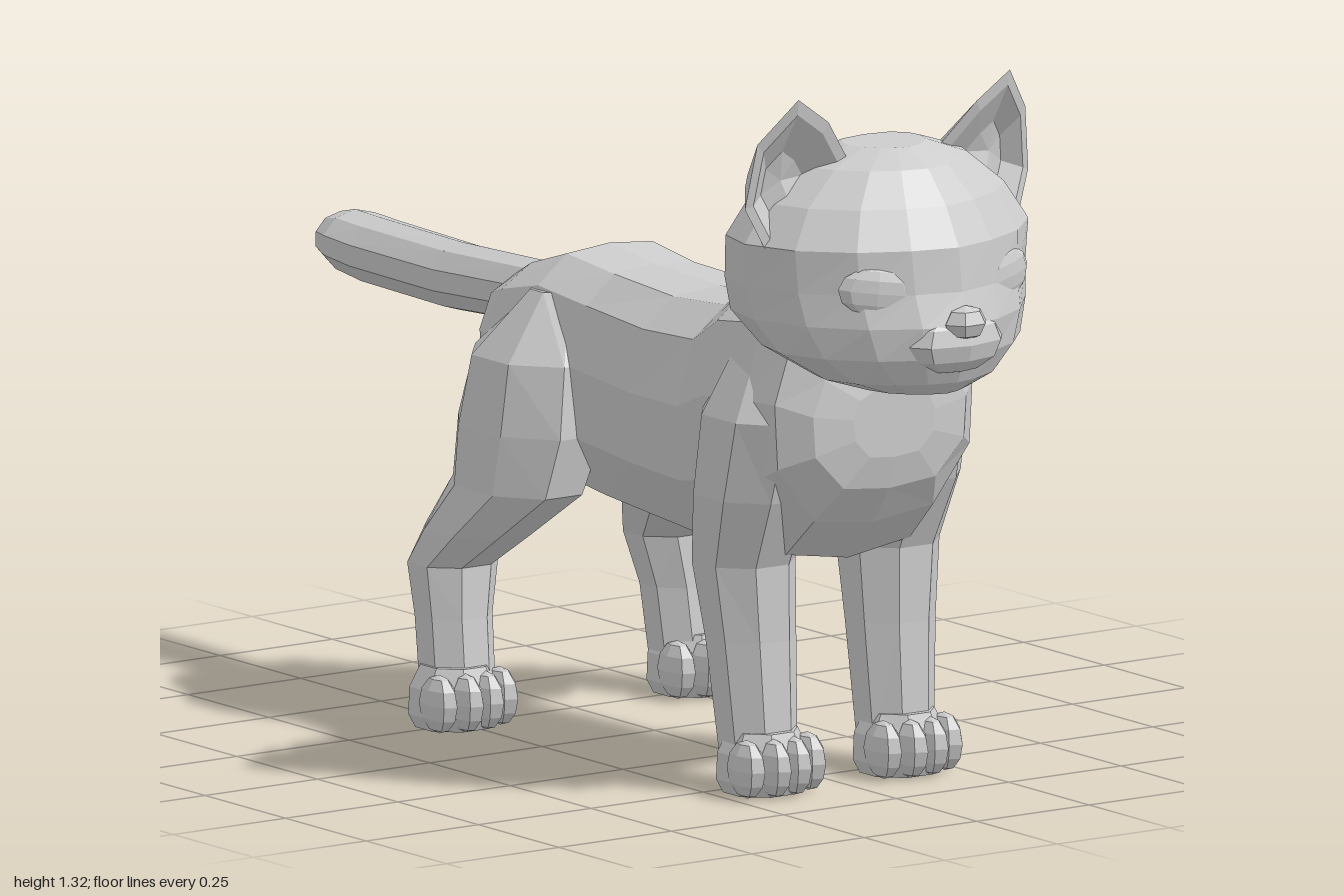
import * as THREE from 'three';

const fur = new THREE.MeshStandardMaterial({ color: 0xcccccc });
fur.name = 'greyFur';

const V = (x, y, z) => new THREE.Vector3(x, y, z);

// Faceted closed skin through rings of equal point count, capped at both ends
function loft(name, rings) {
  const n = rings[0].length, tris = [];
  const centre = r => r.reduce((s, p) => s.add(p), V(0, 0, 0)).divideScalar(n);
  const first = rings[0], last = rings[rings.length - 1];
  const c0 = centre(first), c1 = centre(last);
  for (let j = 0; j < n; j++) {
    const k = (j + 1) % n;
    tris.push([c0, first[j], first[k]], [c1, last[k], last[j]]);
    for (let i = 0; i < rings.length - 1; i++) {
      const a = rings[i], b = rings[i + 1];
      tris.push([a[j], b[j], b[k]], [a[j], b[k], a[k]]);
    }
  }
  // Turn the skin outward whichever way the rings run
  const volume = tris.reduce((s, [a, b, c]) => s + a.dot(b.clone().cross(c)), 0);
  const pts = tris.flatMap(([a, b, c]) => (volume < 0 ? [a, c, b] : [a, b, c]));
  const geo = new THREE.BufferGeometry().setFromPoints(pts);
  geo.computeVertexNormals();
  return named(name, geo);
}

function named(name, geo) {
  const mesh = new THREE.Mesh(geo, fur);
  mesh.name = name;
  return mesh;
}

// Horizontal oval ring for legs and paws: [x, y, z, radiusX, radiusZ]
const oval = ([x, y, z, rx, rz], side) => Array.from({ length: 8 }, (_, i) => {
  const t = (i + 0.5) * Math.PI / 4;
  return V(side * (x + Math.cos(t) * rx * 1.07), y, z + Math.sin(t) * rz * 1.07);
});

// Full symmetric outline from its right-hand half, which starts and ends on the middle
const mirrorHalf = half => [...half, ...half.slice(1, -1).reverse().map(([u, v]) => [-u, v])];

function faceted(name, radius, scale, pos, w = 7, h = 6) {
  let geo = new THREE.SphereGeometry(radius, w, h).toNonIndexed();
  geo.scale(...scale);
  geo.computeVertexNormals();
  const mesh = named(name, geo);
  mesh.position.set(...pos);
  return mesh;
}

function torso() {
  const half = mirrorHalf([[0, 1], [0.5, 0.98], [0.84, 0.86], [1, 0.6], [0.97, 0.3], [0.6, 0.04], [0, 0]]);
  // z, bottom, top, half width
  const rows = [
    [-0.338, 0.63, 0.78, 0.09], [-0.32, 0.56, 0.805, 0.16], [-0.25, 0.5, 0.84, 0.19],
    [-0.14, 0.45, 0.877, 0.19], [0, 0.43, 0.862, 0.18], [0.2, 0.42, 0.855, 0.2],
    [0.37, 0.41, 0.87, 0.215], [0.46, 0.41, 0.93, 0.225], [0.6, 0.42, 0.95, 0.23],
    [0.68, 0.5, 0.9, 0.22], [0.73, 0.57, 0.82, 0.17], [0.745, 0.63, 0.76, 0.09],
  ];
  return loft('torso', rows.map(([z, b, t, w]) => half.map(([u, v]) => V(u * w, b + v * (t - b), z))));
}

function head() {
  const half = mirrorHalf([[0, 1], [0.3, 0.95], [0.6, 0.85], [0.87, 0.67], [1, 0.44],
    [0.93, 0.24], [0.65, 0.06], [0, 0]]);
  // y, half width, front z, back z
  const rows = [
    [0.775, 0.1, 0.91, 0.72], [0.8, 0.18, 0.94, 0.66], [0.85, 0.25, 0.965, 0.56],
    [0.91, 0.28, 0.975, 0.48], [0.97, 0.29, 0.955, 0.48], [1.05, 0.298, 0.945, 0.5],
    [1.12, 0.25, 0.905, 0.53], [1.18, 0.17, 0.85, 0.59], [1.21, 0.08, 0.79, 0.65],
  ];
  return loft('head', rows.map(([y, w, f, b]) => half.map(([u, v]) => V(u * w, y, b + v * (f - b)))));
}

function tail() {
  // z, centre y, half width, half height
  const rows = [
    [-0.25, 0.75, 0.062, 0.065], [-0.35, 0.75, 0.062, 0.06], [-0.6, 0.738, 0.068, 0.063],
    [-0.85, 0.742, 0.074, 0.062], [-0.93, 0.748, 0.074, 0.058], [-0.975, 0.75, 0.058, 0.045],
    [-1, 0.75, 0.025, 0.02],
  ];
  return loft('tail', rows.map(([z, y, w, h]) => Array.from({ length: 10 }, (_, i) => {
    const t = i * Math.PI / 5 + Math.PI / 2;
    return V(Math.cos(t) * w, y + Math.sin(t) * h, z);
  })));
}

// Cupped ear: closed back, rim, inner lip and hollow
function ear(name, side) {
  const rim = [[0.1, 1.19, 0.74], [0.165, 1.272, 0.77], [0.235, 1.322, 0.775], [0.298, 1.24, 0.735],
    [0.315, 1.12, 0.72], [0.275, 1.03, 0.74], [0.2, 1.1, 0.77]].map(p => V(...p));
  const toward = (x, y, z, f) => rim.map(p => p.clone().lerp(V(x, y, z), f));
  const rings = [toward(0.2, 1.13, 0.56, 0.8), toward(0.2, 1.13, 0.56, 0.38), rim,
    toward(0.225, 1.15, 0.75, 0.17), toward(0.235, 1.15, 0.69, 0.6)];
  return loft(name, rings.map(r => r.map(p => V(p.x * side, p.y, p.z))));
}

// Leg rows run shoulder to ankle
const FRONT_LEG = [
  [0.13, 0.82, 0.56, 0.07, 0.08], [0.16, 0.7, 0.56, 0.1, 0.13], [0.165, 0.55, 0.535, 0.1, 0.115],
  [0.16, 0.42, 0.5, 0.09, 0.09], [0.155, 0.28, 0.515, 0.08, 0.075], [0.152, 0.06, 0.535, 0.068, 0.065],
];
const HIND_LEG = [
  [0.11, 0.81, -0.13, 0.06, 0.05], [0.145, 0.69, -0.15, 0.115, 0.14], [0.165, 0.56, -0.155, 0.115, 0.16],
  [0.19, 0.45, -0.16, 0.1, 0.145], [0.22, 0.36, -0.24, 0.09, 0.11], [0.24, 0.295, -0.292, 0.08, 0.075],
  [0.25, 0.2, -0.275, 0.068, 0.066], [0.255, 0.06, -0.255, 0.066, 0.064],
];

function leg(name, side, rows, px, pz) {
  const group = new THREE.Group();
  group.name = name;
  group.add(loft('limb', rows.map(r => oval(r, side))));
  const pad = [[px, 0, pz, 0.07, 0.065], [px, 0.025, pz, 0.082, 0.078],
    [px, 0.075, pz, 0.08, 0.076], [px, 0.115, pz, 0.06, 0.062]];
  group.add(loft('paw', pad.map(r => oval(r, side))));
  // Four toes, the middle pair set further forward
  for (let i = 0; i < 4; i++) {
    const o = i - 1.5, outer = Math.abs(o) > 1;
    group.add(faceted('toe', 1, [0.027, 0.054, 0.05],
      [side * (px + o * 0.045), 0.054, pz + (outer ? 0.045 : 0.064)]));
  }
  return group;
}

export function createModel() {
  const cat = new THREE.Group();
  cat.name = 'cat';
  cat.add(torso(), head(), tail());

  // Muzzle and nose
  cat.add(faceted('muzzle', 1, [0.11, 0.06, 0.06], [0, 0.875, 0.925], 8, 6));
  const nose = faceted('nose', 1, [0.045, 0.032, 0.035], [0, 0.915, 0.966], 6, 4);
  cat.add(nose);

  for (const [word, side] of [['left', 1], ['right', -1]]) {
    cat.add(ear(word + 'Ear', side));
    cat.add(leg(word + 'FrontLeg', side, FRONT_LEG, 0.152, 0.548));
    cat.add(leg(word + 'HindLeg', side, HIND_LEG, 0.265, -0.25));
    // Almond eye lying on the slope of the face
    const eye = faceted(word + 'Eye', 1, [0.072, 0.046, 0.016], [side * 0.145, 0.975, 0.892], 8, 6);
    eye.rotation.set(0, side * 0.42, side * 0.12);
    cat.add(eye);
  }
  return cat;
}
